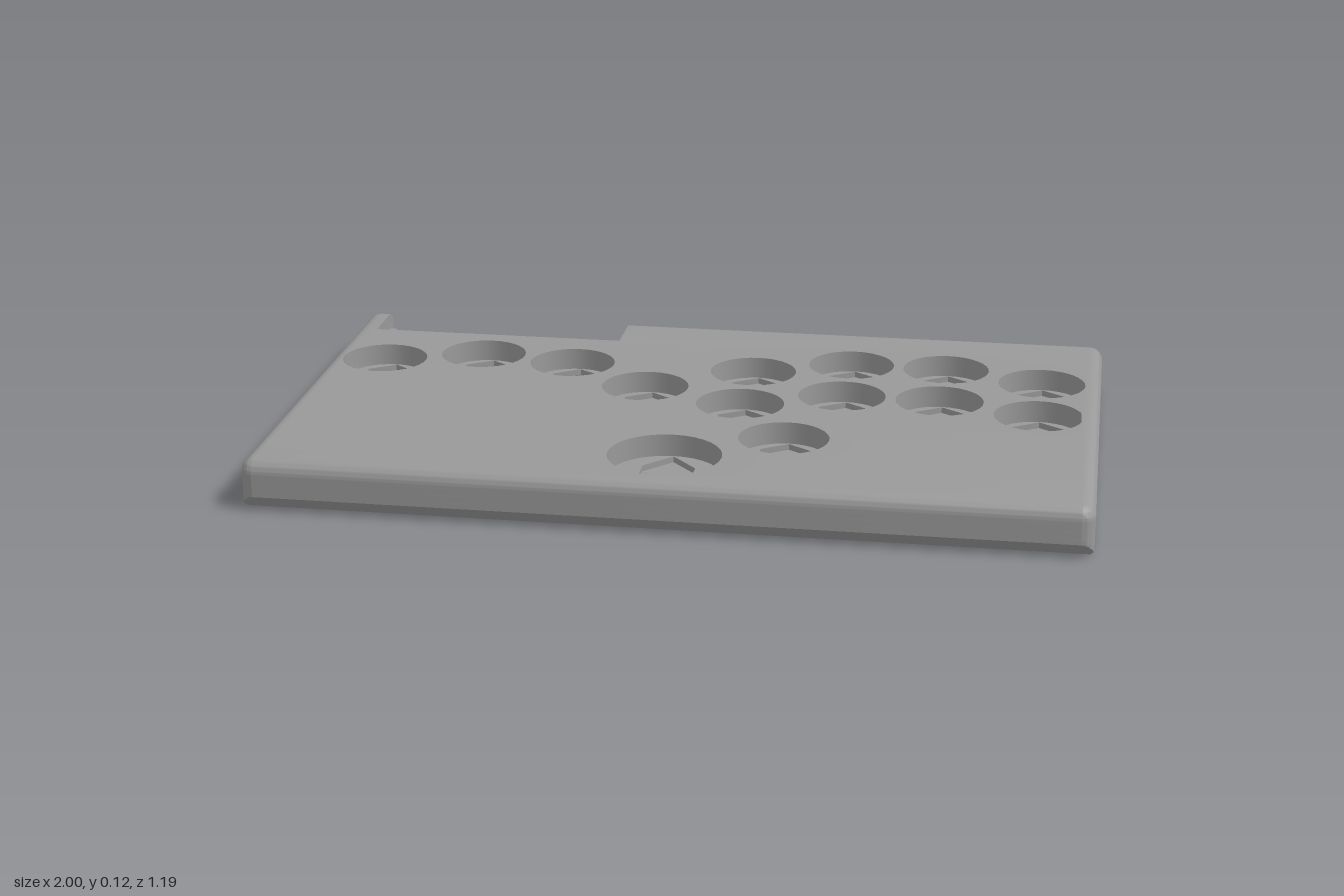
import * as THREE from 'three';
import { toCreasedNormals } from 'three/addons/utils/BufferGeometryUtils.js';

const W = 1, D = 0.595, R = 0.035, TOP = 0.125;
const PLATE = 0.055, SEAT = 0.07, FLOOR = 0.02;
const NOTCH = { x0: -0.94, x1: -0.275, z: -0.43 };

// button centres: x, z, radius
const r = 0.11;
const buttons = [
  [-0.855, -0.197, r], [-0.607, -0.27, r], [-0.363, -0.235, r], [-0.144, -0.08, r],
  [0.112, -0.235, r], [0.112, 0.015, r], [0.357, -0.325, r], [0.357, -0.08, r],
  [0.602, -0.325, r], [0.602, -0.08, r], [0.85, -0.25, r], [0.85, -0.005, r],
  [0.25, 0.245, r], [-0.015, 0.4, 0.137],
];

// outline of the case with rounded corners; inner points cut into the back edge
function outline(cut) {
  const s = new THREE.Shape();
  s.moveTo(-W, -D + R);
  s.absarc(-W + R, -D + R, R, Math.PI, 1.5 * Math.PI);
  s.absarc(W - R, -D + R, R, 1.5 * Math.PI, 2 * Math.PI);
  s.absarc(W - R, D - R, R, 0, Math.PI / 2);
  cut.forEach(([x, z]) => s.lineTo(x, -z));
  s.absarc(-W + R, D - R, R, Math.PI / 2, Math.PI);
  s.closePath();
  return s;
}

// extrude upward from y0 to y1, then round the outer edges by height
function slab(shape, y0, y1, steps) {
  const g = new THREE.ExtrudeGeometry(shape, { depth: y1 - y0, steps, bevelEnabled: false, curveSegments: 16 });
  g.rotateX(-Math.PI / 2);
  g.translate(0, y0, 0);
  const p = g.attributes.position;
  for (let i = 0; i < p.count; i++) {
    let x = p.getX(i), z = p.getZ(i);
    const y = p.getY(i);
    const up = Math.max(0, y - (TOP - R));
    const low = Math.max(0, 0.01 - y);
    const reach = Math.max(0.0005, Math.sqrt(Math.max(0, R * R - up * up)) - low);
    const cx = THREE.MathUtils.clamp(x, -W + R, W - R);
    const cz = THREE.MathUtils.clamp(z, -D + R, D - R);
    const d = Math.hypot(x - cx, z - cz);
    if (d > reach) {
      x = cx + (x - cx) * reach / d;
      z = cz + (z - cz) * reach / d;
    }
    // sloping front underside
    z = Math.min(z, 0.56 + y);
    p.setXYZ(i, x, y, z);
  }
  return toCreasedNormals(g, 0.6);
}

export function createModel() {
  const group = new THREE.Group();
  const grey = new THREE.MeshStandardMaterial({ color: 0x999999 });
  grey.name = 'grey plastic';

  function add(name, geometry) {
    const m = new THREE.Mesh(geometry, grey);
    m.name = name;
    group.add(m);
    return m;
  }
  function block(name, x0, x1, y0, y1, z0, z1) {
    const m = add(name, new THREE.BoxGeometry(x1 - x0, y1 - y0, z1 - z0));
    m.position.set((x0 + x1) / 2, (y0 + y1) / 2, (z0 + z1) / 2);
  }

  const notch = [[NOTCH.x1, -D], [NOTCH.x1, NOTCH.z], [NOTCH.x0, NOTCH.z], [NOTCH.x0, -D]];

  // top cover with round button wells
  const cover = outline(notch);
  buttons.forEach(([x, z, rad]) => {
    const hole = new THREE.Path();
    hole.absarc(x, -z, rad, 0, Math.PI * 2, true);
    cover.holes.push(hole);
  });
  add('topCover', slab(cover, SEAT, TOP, 22));

  // switch plate with house-shaped openings
  const plate = outline(notch);
  buttons.forEach(([x, z, rad]) => {
    const h = [[-0.064, 0.068], [0.064, 0.068], [0.064, -0.062], [0, -rad + 0.003], [-0.064, -0.062]];
    plate.holes.push(new THREE.Path(h.map(([a, b]) => new THREE.Vector2(x + a, -(z + b)))));
    block('switchRib', x - 0.066, x - 0.054, FLOOR, PLATE, z - 0.062, z + 0.068);
  });
  add('switchPlate', slab(plate, PLATE, SEAT, 1));

  // front and side walls, open at the back
  const inner = 0.94, front = 0.5;
  add('walls', slab(outline([[inner, -D], [inner, front], [-inner, front], [-inner, -D]]), 0, PLATE, 11));

  // bottom plate
  block('bottomPlate', -inner, inner, 0, FLOOR, -0.585, front);

  // ledge around the rear notch
  block('notchLedge', NOTCH.x0, NOTCH.x1, FLOOR, 0.085, NOTCH.z - 0.015, NOTCH.z);
  block('notchLedge', NOTCH.x0, NOTCH.x0 + 0.02, FLOOR, 0.085, -0.56, NOTCH.z);
  block('notchLedge', NOTCH.x1 - 0.012, NOTCH.x1, PLATE, 0.085, -0.575, NOTCH.z);
  block('notchTab', -0.71, -0.67, 0.05, 0.065, NOTCH.z - 0.022, NOTCH.z - 0.015);

  // round-ended dividers standing in the notch
  [-0.77, -0.608, -0.445].forEach((x) => {
    const s = new THREE.Shape();
    s.moveTo(-0.016, 0.445);
    s.lineTo(0.016, 0.445);
    s.absarc(0, 0.557, 0.016, 0, Math.PI);
    s.closePath();
    const g = new THREE.ExtrudeGeometry(s, { depth: 0.05, bevelEnabled: false, curveSegments: 8 });
    g.rotateX(-Math.PI / 2);
    add('notchDivider', toCreasedNormals(g, 0.6)).position.set(x, FLOOR, 0);
  });

  // low ridges along the rear of the bottom plate
  [[0.45, 0.85], [0.1, 0.4], [-0.2, 0.05]].forEach(([a, b]) => {
    block('rearRidge', a, b, FLOOR, 0.035, -0.575, -0.55);
  });
  return group;
}
